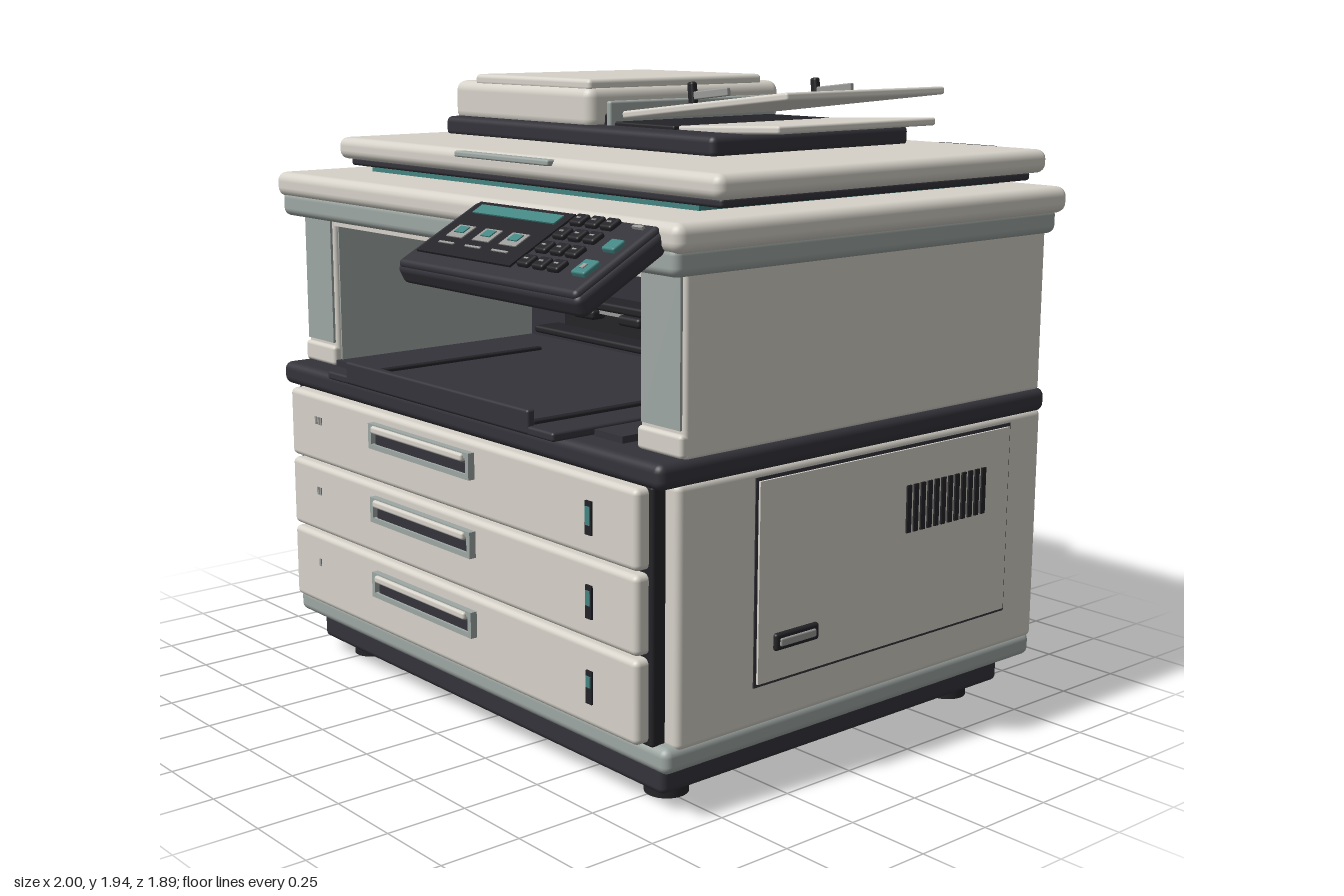
import * as THREE from 'three';
import { RoundedBoxGeometry } from 'three/addons/geometries/RoundedBoxGeometry.js';

export function createModel() {
  const model = new THREE.Group();
  model.name = 'officeCopier';
  const mat = (name, color) => {
    const m = new THREE.MeshStandardMaterial({ color });
    m.name = name;
    return m;
  };
  const cream = mat('warm cream', 0xd6d2c9);
  const sage = mat('sage grey', 0x9ea7a3);
  const dark = mat('charcoal', 0x34333a);
  const black = mat('rubber black', 0x242428);
  const teal = mat('teal', 0x438582);
  const silver = mat('silver grey', 0x9a9a98);

  const add = (name, material, geometry, parent = model) => {
    const m = new THREE.Mesh(geometry, material);
    m.name = name;
    parent.add(m);
    return m;
  };
  // Box given by its extents; r > 0 rounds the edges
  const box = (name, material, x0, x1, y0, y1, z0, z1, r = 0, parent = model) => {
    const w = x1 - x0, h = y1 - y0, d = z1 - z0;
    const g = r ? new RoundedBoxGeometry(w, h, d, 3, r) : new THREE.BoxGeometry(w, h, d);
    const m = add(name, material, g, parent);
    m.position.set((x0 + x1) / 2, (y0 + y1) / 2, (z0 + z1) / 2);
    return m;
  };
  const cylinder = (name, material, r, len, x, y, z, alongX = false, parent = model) => {
    const m = add(name, material, new THREE.CylinderGeometry(r, r, len, 28), parent);
    m.position.set(x, y, z);
    if (alongX) m.rotation.z = Math.PI / 2;
    return m;
  };
  // Rectangular ring facing +z
  const ring = (name, material, w, h, t, depth, x, y, z) => {
    const s = new THREE.Shape([[-w, -h], [w, -h], [w, h], [-w, h]].map(([a, b]) => new THREE.Vector2(a / 2, b / 2)));
    const a = w / 2 - t, b = h / 2 - t;
    s.holes.push(new THREE.Path([[-a, -b], [-a, b], [a, b], [a, -b]].map(([p, q]) => new THREE.Vector2(p, q))));
    const m = add(name, material, new THREE.ExtrudeGeometry(s, { depth, bevelEnabled: false }));
    m.position.set(x, y, z);
    return m;
  };

  // Feet, plinth and lower cabinet
  for (const x of [-0.76, 0.76]) for (const z of [0.49, -0.7]) cylinder('foot', black, 0.064, 0.06, x, 0.03, z);
  box('plinth', dark, -0.88, 0.88, 0.05, 0.16, -0.81, 0.61, 0.02);
  box('baseTrim', sage, -0.95, 0.95, 0.14, 0.215, -0.88, 0.66, 0.025);
  box('cabinet', cream, -0.95, 0.95, 0.2, 0.94, -0.885, 0.62, 0.02);
  box('drawerFrame', black, -0.9, 0.9, 0.21, 0.935, 0.6, 0.665, 0.01);

  // Drawers with recessed grips, level marks and fill gauges
  [[0.22, 0.46], [0.47, 0.695], [0.705, 0.93]].forEach(([y0, y1], i) => {
    const y = [0.378, 0.622, 0.858][i];
    box('drawer', cream, -0.885, 0.885, y0, y1, 0.645, 0.708, 0.018);
    ring('gripFrame', sage, 0.535, 0.08, 0.016, 0.03, -0.108, y, 0.7);
    box('gripRecess', black, -0.36, 0.145, y - 0.03, y + 0.03, 0.7, 0.713);
    box('gripLip', cream, -0.35, 0.135, y + 0.012, y + 0.036, 0.705, 0.74, 0.008);
    box('gripBar', dark, -0.35, 0.135, y - 0.028, y + 0.01, 0.71, 0.722, 0.005);
    box('gauge', black, 0.677, 0.703, y - 0.09, y + 0.005, 0.705, 0.714);
    box('gaugeLight', teal, 0.681, 0.699, y - 0.042 - 0.01 * i, y - 0.01, 0.712, 0.717);
    for (let k = 0; k <= i; k++) {
      const x = -0.727 + k * 0.015;
      box('levelMark', silver, x, x + 0.01, y - 0.025, y, 0.706, 0.711);
    }
  });

  // Side doors with vents and latch, mirrored
  for (const s of [1, -1]) {
    const side = (name, material, a, b, y0, y1, z0, z1, r = 0) =>
      box(name, material, Math.min(s * a, s * b), Math.max(s * a, s * b), y0, y1, z0, z1, r);
    side('sideDoorSeam', dark, 0.94, 0.953, 0.318, 0.916, -0.732, 0.342);
    side('sideDoor', cream, 0.945, 0.96, 0.328, 0.906, -0.722, 0.332);
    for (let i = 0; i < 12; i++) {
      const z = -0.267 - i * 0.0303;
      side('sideVent', black, 0.955, 0.966, 0.655, 0.798, z - 0.009, z + 0.009);
    }
    side('sideLatch', black, 0.95, 0.972, 0.414, 0.464, 0.105, 0.275, 0.008);
    side('sideLatchPull', silver, 0.96, 0.977, 0.426, 0.45, 0.12, 0.26, 0.005);
  }

  // Rear service panel
  box('rearPanel', dark, -0.83, 0.83, 0.33, 0.845, -0.922, -0.87, 0.015);
  for (let i = 0; i < 12; i++) {
    const x = -0.07 - i * 0.054;
    box('rearVent', black, x - 0.01, x + 0.01, 0.52, 0.72, -0.93, -0.91);
  }
  box('rearLatch', black, 0.46, 0.67, 0.45, 0.57, -0.932, -0.91, 0.008);
  box('rearLatchPlate', dark, 0.47, 0.66, 0.46, 0.56, -0.937, -0.92, 0.006);
  box('rearLatchKnob', black, 0.5, 0.56, 0.485, 0.53, -0.947, -0.93, 0.006);

  // Waist band and upper body around the output bay
  box('waistBand', dark, -0.957, 0.957, 0.932, 1.005, -0.895, 0.69, 0.025);
  for (const s of [1, -1]) {
    const x0 = s > 0 ? 0.765 : -0.945, x1 = s > 0 ? 0.945 : -0.765, inner = s * 0.763;
    box('upperSideWall', cream, x0, x1, 1.0, 1.5, -0.875, 0.593, 0.012);
    box('pillarFace', sage, x0 + 0.012, x1 - 0.012, 1.08, 1.5, 0.585, 0.601);
    box('pillarFoot', cream, x0, x1, 1.005, 1.07, 0.57, 0.607, 0.012);
    box('bayLining', sage, inner - 0.004, inner + 0.004, 1.0, 1.49, -0.2, 0.58);
  }
  box('upperBackBlock', cream, -0.78, 0.78, 1.0, 1.5, -0.87, -0.23);
  box('bayBackWall', dark, -0.765, 0.765, 1.0, 1.48, -0.235, -0.2);
  box('bayCeiling', cream, -0.77, 0.77, 1.465, 1.5, -0.23, 0.59);
  box('upperRearPanel', dark, -0.93, 0.93, 1.01, 1.465, -0.892, -0.86, 0.01);

  // Paper exit on the bay back wall
  box('exitHood', black, -0.615, 0.615, 1.178, 1.208, -0.21, -0.1, 0.01);
  box('exitSlot', black, -0.55, 0.55, 1.085, 1.18, -0.21, -0.185);
  box('exitStrip', silver, -0.51, 0.51, 1.158, 1.172, -0.19, -0.14);
  box('exitSill', black, -0.615, 0.615, 1.06, 1.085, -0.21, -0.1, 0.01);
  for (const x of [-0.36, -0.125, 0.105, 0.34])
    box('exitRoller', black, x - 0.055, x + 0.055, 1.138, 1.172, -0.17, -0.11, 0.012);

  // Output tray
  box('bayFloor', dark, -0.765, 0.7, 1.0, 1.025, -0.2, 0.6);
  box('outputTray', dark, -0.58, 0.58, 1.008, 1.034, -0.05, 0.745, 0.008);
  box('outputTrayLip', dark, -0.47, 0.47, 1.01, 1.08, 0.72, 0.747, 0.008);
  for (const x of [-0.45, 0.45]) box('outputTrayRail', black, x - 0.012, x + 0.012, 1.03, 1.045, 0, 0.72, 0.005);

  // Scanner bed and lid
  box('scannerTrim', sage, -0.98, 0.98, 1.488, 1.57, -0.885, 0.66, 0.025);
  box('scannerFrame', cream, -1, 1, 1.55, 1.63, -0.91, 0.67, 0.03);
  box('scanGlass', teal, -0.8, 0.8, 1.625, 1.65, -0.82, 0.42);
  box('lidSeal', dark, -0.905, 0.905, 1.645, 1.672, -0.84, 0.435, 0.01);
  box('lid', cream, -0.933, 0.933, 1.667, 1.738, -0.89, 0.47, 0.028);
  box('lidHandle', sage, -0.235, 0.23, 1.715, 1.733, 0.43, 0.487, 0.006);
  for (const s of [1, -1]) {
    cylinder('hinge', dark, 0.05, 0.24, s * 0.6, 1.68, -0.89, true);
    box('hingeLeaf', dark, s * 0.6 - 0.12, s * 0.6 + 0.12, 1.62, 1.735, -0.92, -0.875, 0.01);
  }

  // Document feeder
  box('feederBase', dark, -0.86, 0.49, 1.73, 1.796, -0.755, 0.085, 0.02);
  box('feederBody', cream, -0.88, -0.14, 1.778, 1.915, -0.805, 0.035, 0.035);
  box('feederCover', cream, -0.77, -0.155, 1.9, 1.938, -0.73, 0.022, 0.014);
  box('feedMouth', black, -0.15, -0.1, 1.79, 1.83, -0.72, -0.03, 0.008);
  box('feedRoller', sage, -0.1, -0.078, 1.79, 1.872, -0.72, 0.0, 0.008);
  box('feedStep', black, -0.09, 0.2, 1.79, 1.808, -0.7, -0.02, 0.006);

  // Sloping document trays, hinged at the feeder
  const tray = (name, x, y, len, angle) => {
    const g = new THREE.Group();
    g.name = name;
    g.position.set(x, y, 0);
    g.rotation.z = angle;
    model.add(g);
    box(name + 'Plate', cream, 0, len, -0.012, 0.012, -0.72, -0.04, 0.008, g);
    return g;
  };
  tray('lowerTray', -0.07, 1.783, 0.7, 0.045);
  const upper = tray('upperTray', -0.07, 1.828, 0.735, 0.113);
  for (const z of [-0.645, -0.112]) {
    box('paperGuide', silver, 0.25, 0.42, 0.025, 0.05, z - 0.008, z + 0.008, 0.004, upper);
    box('guidePost', black, 0.245, 0.272, 0.01, 0.08, z - 0.012, z + 0.012, 0.008, upper);
  }

  // Tilted control panel; local y = 0 is its working face
  const panel = new THREE.Group();
  panel.name = 'controlPanel';
  panel.position.set(0.533, 1.548, 0.805);
  panel.rotation.x = 0.49;
  model.add(panel);
  const key = (name, material, x, z, w, d, top, r = 0) => {
    const px = x - 0.533, pz = (z - 0.81) / 0.88;
    return box(name, material, px - w / 2, px + w / 2, -0.005, top, pz - d / 2, pz + d / 2, r, panel);
  };
  box('panelShell', dark, -0.403, 0.403, -0.075, -0.012, -0.165, 0.165, 0.02, panel);
  box('panelFace', dark, -0.395, 0.395, -0.04, 0, -0.158, 0.158, 0.015, panel);
  key('screenBezel', black, 0.385, 0.79, 0.43, 0.25, 0.006);
  key('screenHeader', teal, 0.385, 0.712, 0.37, 0.04, 0.01);
  for (const x of [0.255, 0.378, 0.5]) {
    key('screenTile', silver, x, 0.808, 0.075, 0.056, 0.009);
    key('screenIcon', teal, x, 0.803, 0.042, 0.028, 0.012);
    key('screenCaption', silver, x, 0.857, 0.07, 0.007, 0.009);
  }
  for (const x of [0.642, 0.706, 0.768]) for (const z of [0.7, 0.757, 0.815, 0.873]) {
    key('keypadKey', black, x, z, 0.048, 0.044, 0.014, 0.007);
    key('keyMark', silver, x, z, 0.016, 0.005, 0.016);
  }
  key('statusLight', silver, 0.872, 0.695, 0.04, 0.01, 0.008);
  key('clearKey', teal, 0.872, 0.775, 0.05, 0.045, 0.014, 0.006);
  key('startKey', teal, 0.872, 0.865, 0.055, 0.06, 0.014, 0.006);
  key('startMark', silver, 0.872, 0.868, 0.016, 0.018, 0.017);

  return model;
}
